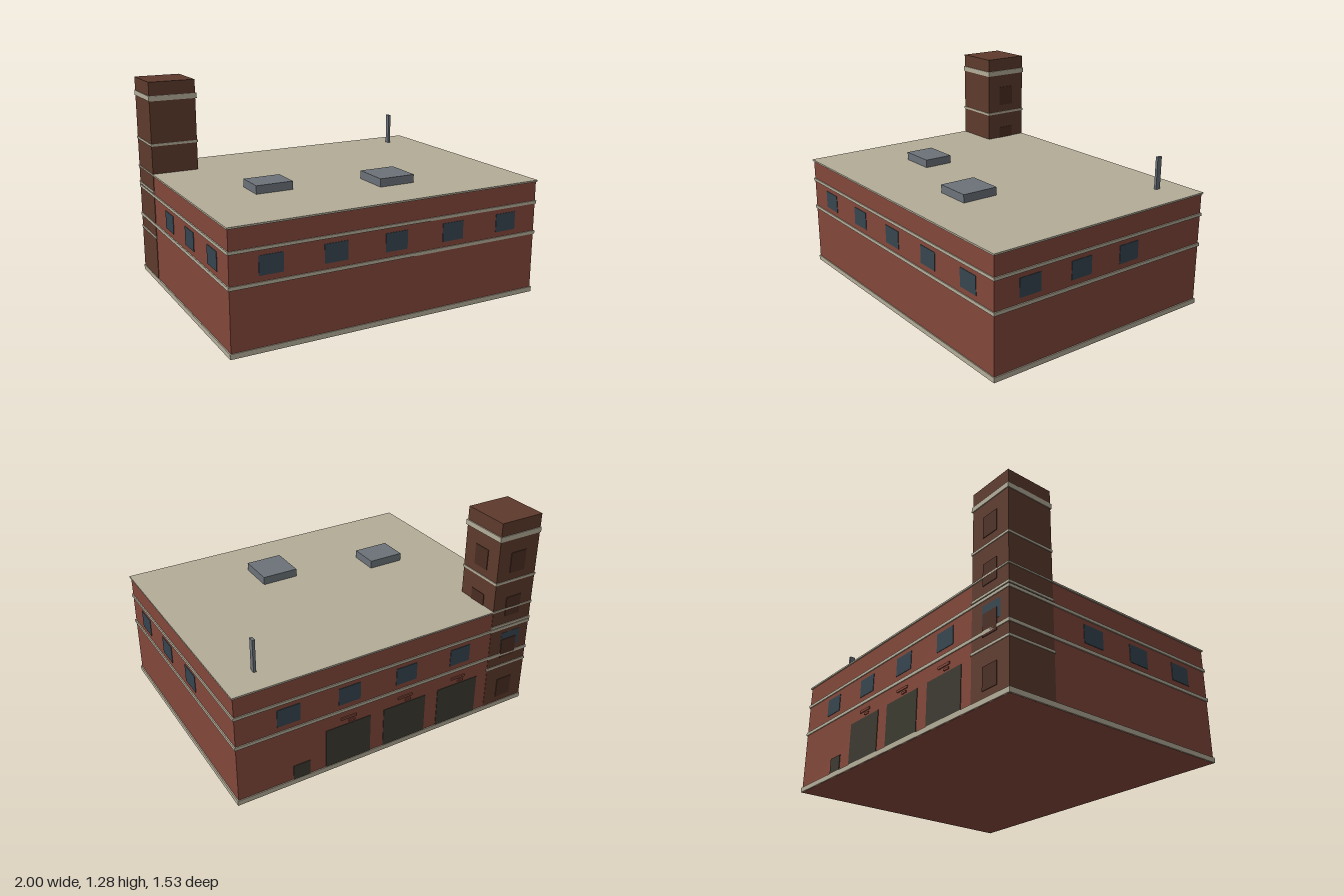
import * as THREE from 'three';

const mat = (name, color) => {
  const m = new THREE.MeshStandardMaterial({ color });
  m.name = name;
  return m;
};

export function createModel() {
  const root = new THREE.Group();
  root.name = 'brickStation';
  const brick = mat('brick red', 0x82473a);
  const stone = mat('pale stone', 0xb3ac98);
  const brown = mat('tower brown', 0x5d3a2c);
  const dark = mat('dark brown', 0x4a2d22);
  const glass = mat('window slate', 0x36454f);
  const metal = mat('roof metal', 0x6b7278);
  const door = mat('door charcoal', 0x3c3a30);

  // Box given by its lower and upper limits on each axis
  const box = (name, m, [x0, x1], [y0, y1], [z0, z1], parent = root) => {
    const mesh = new THREE.Mesh(new THREE.BoxGeometry(x1 - x0, y1 - y0, z1 - z0), m);
    mesh.position.set((x0 + x1) / 2, (y0 + y1) / 2, (z0 + z1) / 2);
    mesh.name = name;
    parent.add(mesh);
    return mesh;
  };
  const around = (c, size) => [c - size / 2, c + size / 2];

  // Main hall with plinth, string courses and roof
  const W = 0.993, D = 0.76;
  box('hallWalls', brick, [-W, W], [0, 0.706], [-D, D]);
  [[0.001, 0.031], [0.377, 0.397], [0.569, 0.587]].forEach((y, i) =>
    box(i ? 'stringCourse' : 'plinth', stone, [-1, 1], y, [-0.766, 0.766]));
  box('roofSlab', stone, [-1, 1], [0.705, 0.715], [-0.767, 0.767]);

  // Upper windows on all four sides
  const winY = [0.43, 0.54];
  for (let i = 0; i < 5; i++) {
    box('frontWindow', glass, around(-0.757 + i * 0.382, 0.142), winY, [D - 0.004, D + 0.003]);
    box('backWindow', glass, around(0.675 - i * 0.384, 0.142), winY, [-D - 0.003, -D + 0.004]);
  }
  for (const s of [-1, 1]) {
    for (const z of [0.53, 0.177, -0.175]) {
      box('sideWindow', glass, around(s * W, 0.006), winY, around(z, 0.142));
    }
  }

  // Garage doors with small lamps above, and the side hatch
  for (const x of [0.295, -0.09, -0.475]) {
    box('garageDoor', door, around(x, 0.295), [0.031, 0.285], [-D - 0.003, -D + 0.004]);
    box('doorLamp', brick, around(x, 0.1), [0.323, 0.338], [-D - 0.006, -D]);
    box('doorLamp', brick, around(x - 0.02, 0.04), [0.298, 0.311], [-D - 0.006, -D]);
  }
  box('entranceHatch', door, around(0.6, 0.105), [0.031, 0.125], [-D - 0.004, -D + 0.004]);

  // Corner tower
  const tower = new THREE.Group();
  tower.name = 'tower';
  root.add(tower);
  box('towerShaft', brown, [-0.996, -0.704], [0.031, 1.285], [-0.762, -0.465], tower);
  for (const y of [0.303, 0.6, 0.897]) {
    box('towerBand', stone, [-1, -0.699], around(y, 0.015), [-0.766, -0.461], tower);
  }
  box('towerTopBand', stone, [-1, -0.696], [1.169, 1.201], [-0.767, -0.459], tower);

  // Tower slots on the rear and inner faces
  for (let i = 0; i < 4; i++) {
    const y = [0.07 + i * 0.294, 0.2 + i * 0.294];
    box('towerRearSlot', dark, around(-0.85, 0.11), y, [-0.766, -0.758], tower);
    if (i > 1) box('towerInnerSlot', dark, [-0.708, -0.7], y, around(-0.613, 0.11), tower);
  }

  // Roof equipment
  box('roofVent', metal, [-0.62, -0.39], [0.71, 0.765], [0.08, 0.264]);
  box('roofVent', metal, [0.08, 0.31], [0.71, 0.765], [0.23, 0.462]);
  box('antennaMast', metal, [0.784, 0.8], [0.71, 0.915], [-0.614, -0.581]);

  return root;
}
